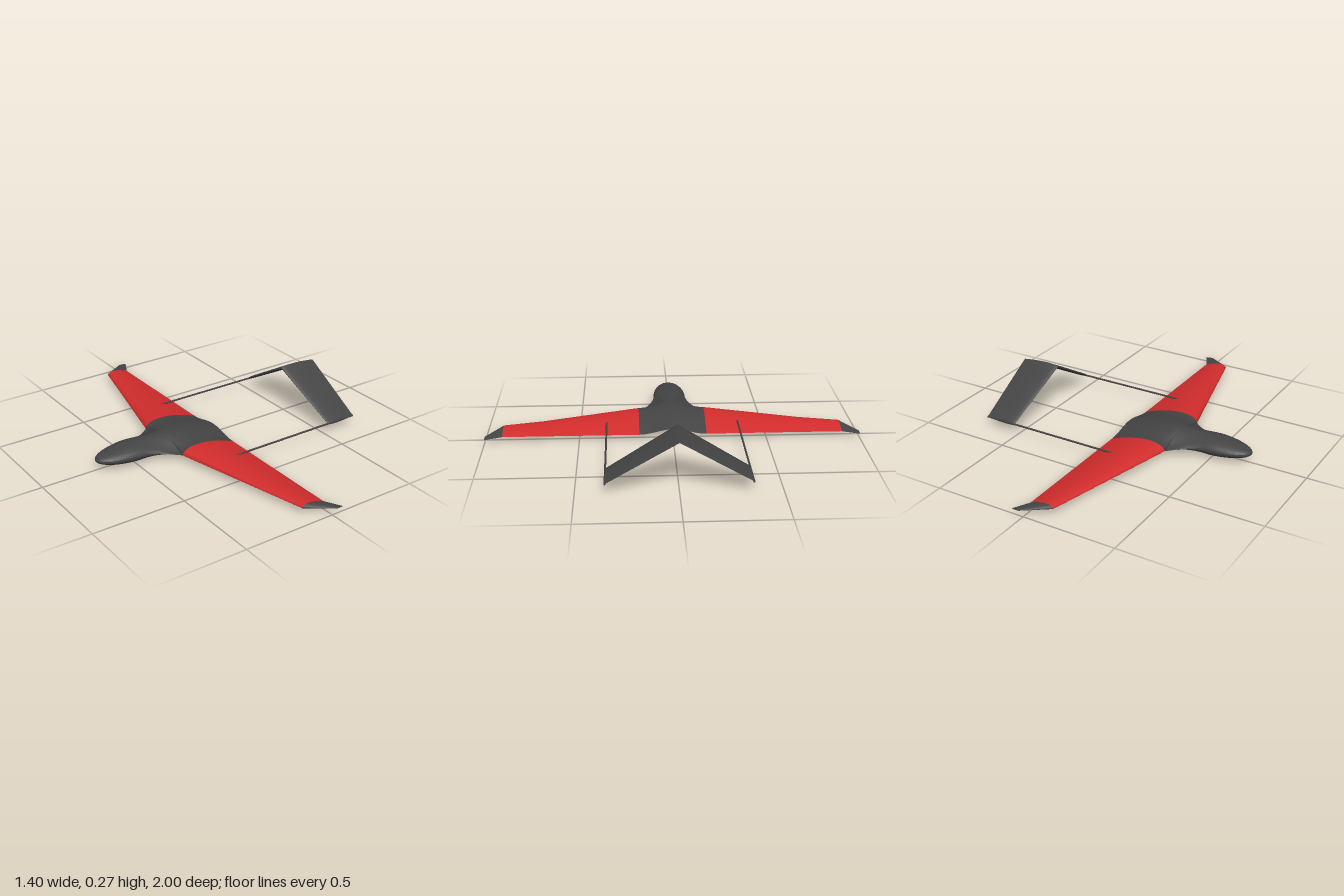
import * as THREE from 'three';
import { toCreasedNormals } from 'three/addons/utils/BufferGeometryUtils.js';

const GREY = new THREE.MeshStandardMaterial({ color: 0x444444, side: THREE.DoubleSide });
const RED = new THREE.MeshStandardMaterial({ color: 0xd22c2c, side: THREE.DoubleSide });
const { lerp, smoothstep } = THREE.MathUtils;

// Skin a list of cross-sections that all have the same number of points
function loft(name, sections, material) {
  const n = sections[0].length;
  const index = [];
  for (let i = 0; i < sections.length - 1; i++) {
    for (let j = 0; j < n - 1; j++) {
      const a = i * n + j, b = a + n;
      index.push(a, b, a + 1, b, b + 1, a + 1);
    }
  }
  const geometry = new THREE.BufferGeometry();
  geometry.setAttribute('position', new THREE.Float32BufferAttribute(sections.flat(2), 3));
  geometry.setIndex(index);
  const mesh = new THREE.Mesh(toCreasedNormals(geometry, 0.6), material);
  mesh.name = name;
  return mesh;
}

// Height of an airfoil above its chord line; u runs from -1 (lower rear) over 0 (nose) to 1 (upper rear)
function foilY(s, u) {
  const bulge = Math.abs(u) * (1 - u * u) / 0.385;
  return lerp(s.yLead, s.yTrail, u * u) + bulge * (u > 0 ? s.up : -s.down);
}

// Airfoil section in a plane of constant z
function foil(s, n = 28) {
  return Array.from({ length: n + 1 }, (_, j) => {
    const u = -1 + 2 * j / n;
    return [lerp(s.lead, s.trail, u * u), foilY(s, u), s.z];
  });
}

// Flat copy of a section, used to close an open end
const flat = s => ({ ...s, up: 0, down: 0 });

const ROOT = { z: 0.18, lead: -0.295, trail: 0.02, yLead: 0.04, yTrail: 0.026, up: 0.044, down: 0.009 };
const MID = { z: 0.7, lead: -0.162, trail: 0.02, yLead: 0.034, yTrail: 0.026, up: 0.02, down: 0.006 };
const END = { z: 0.91, lead: -0.11, trail: 0.02, yLead: 0.033, yTrail: 0.026, up: 0.019, down: 0.005 };
const TIP = { z: 1, lead: 0.02, trail: 0.065, yLead: 0.03, yTrail: 0.028, up: 0.002, down: 0.002 };

// Half width of the body in plan: round nose, then a flare into the wing roots
function bodyWidth(x) {
  if (x < -0.48) return 0.09 * Math.sqrt(Math.max(0, 1 - ((x + 0.48) / 0.22) ** 2));
  return 0.09 + 0.09 * Math.min(1, (x + 0.48) / 0.185) ** 2;
}

// Half height of the body along its centre line
function bodyHeight(x) {
  if (x < -0.38) return 0.051 * Math.sqrt(Math.max(0, 1 - ((x + 0.38) / 0.32) ** 2));
  return 0.051 * (1 - Math.max(0, (x + 0.3) / 0.32) ** 2);
}

// Body ring: an ellipse at the nose that turns into a bell blended with the wing root
function bodySection(x, n = 56) {
  const w = bodyWidth(x), h = bodyHeight(x), blend = smoothstep(x, -0.52, -0.28);
  const u = Math.sqrt(Math.max(0, (x - ROOT.lead) / (ROOT.trail - ROOT.lead)));
  const ring = [];
  for (let j = 0; j <= n; j++) {
    const angle = 2 * Math.PI * j / n;
    const q = Math.cos(angle), side = Math.sin(angle) >= 0 ? 1 : -1;
    const f = lerp(Math.abs(Math.sin(angle)), (1 + Math.cos(Math.PI * q)) / 2, blend);
    const edge = u > 0 ? foilY(ROOT, side * u) : lerp(0.054, ROOT.yLead, blend);
    ring.push([x, lerp(edge, 0.054 + side * h, f), w * q]);
  }
  return ring;
}

export function createModel() {
  const model = new THREE.Group();
  model.name = 'aircraft';

  // Blended body, with stations closer together at the nose
  const stations = [];
  for (let i = 0; i <= 24; i++) stations.push(-0.7 + 0.405 * (i / 24) ** 2);
  for (let i = 1; i <= 24; i++) stations.push(-0.295 + 0.315 * (i / 24) ** 2);
  model.add(loft('body', stations.map(x => bodySection(x)), GREY));

  for (const side of [1, -1]) {
    const label = side > 0 ? 'left' : 'right';
    const span = list => {
      const placed = list.map(s => foil({ ...s, z: s.z * side }));
      return side > 0 ? placed : placed.reverse();
    };
    // Wing panel and swept wing tip
    model.add(loft(label + 'Wing', span([ROOT, MID, END]), RED));
    model.add(loft(label + 'WingTip', span([END, TIP, flat(TIP)]), GREY));

    // Tail boom
    const boom = new THREE.Mesh(new THREE.CylinderGeometry(0.005, 0.005, 0.795, 12), GREY);
    boom.name = label + 'Boom';
    boom.rotation.z = Math.PI / 2;
    boom.position.set(0.3025, 0.055, 0.355 * side);
    model.add(boom);
  }

  // Inverted V tail joining both booms
  const foot = z => ({ z, lead: 0.522, trail: 0.7, yLead: 0.055, yTrail: 0.055, up: 0.009, down: 0.009 });
  const peak = { z: 0, lead: 0.477, trail: 0.7, yLead: 0.262, yTrail: 0.26, up: 0.012, down: 0.012 };
  const tail = [flat(foot(-0.357)), foot(-0.357), peak, foot(0.357), flat(foot(0.357))];
  model.add(loft('tail', tail.map(s => foil(s)), GREY));

  return model;
}
